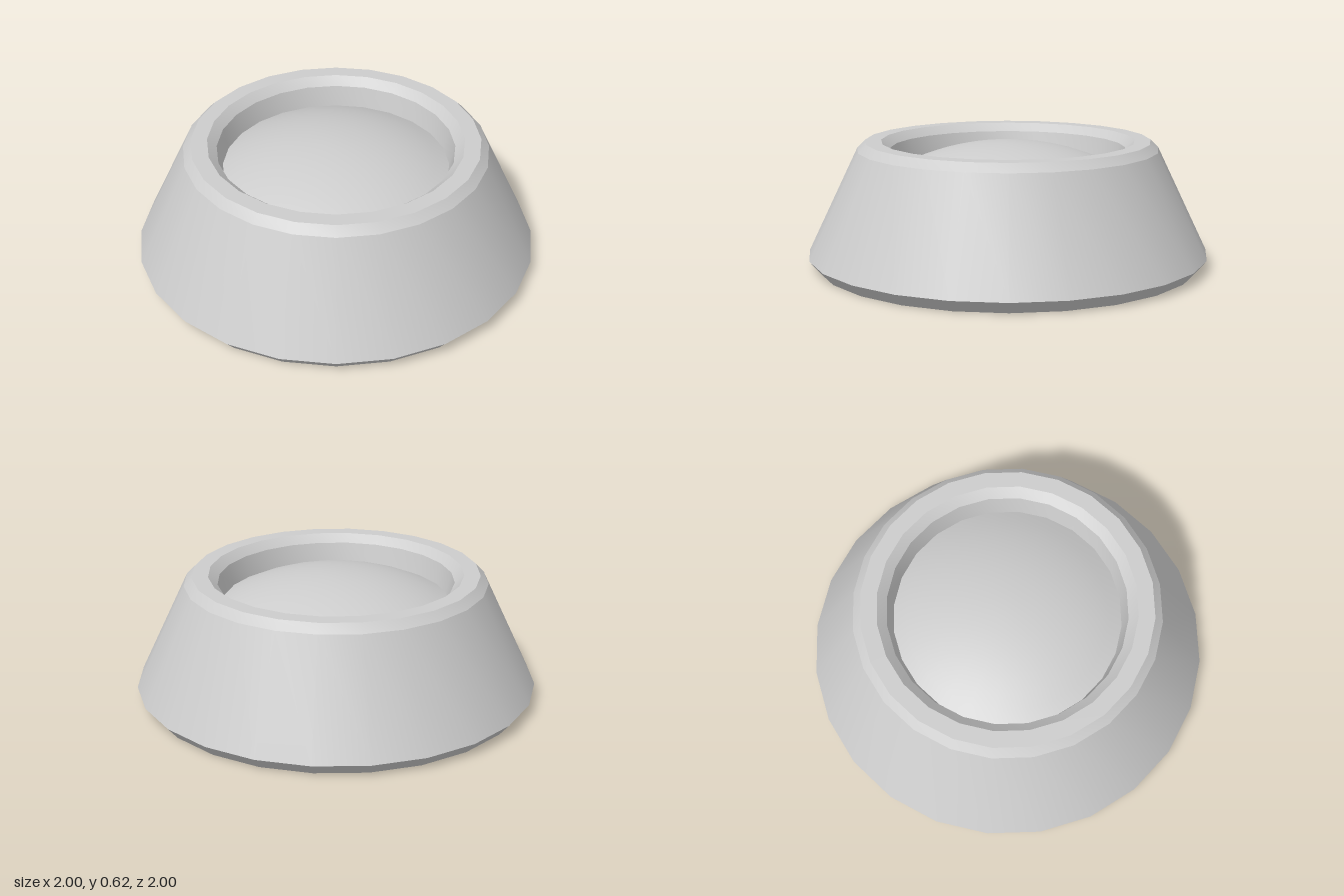
import * as THREE from 'three';
import { toCreasedNormals } from 'three/addons/utils/BufferGeometryUtils.js';

const SIDES = 24;

export function createModel() {
  const group = new THREE.Group();
  group.name = 'lensInHousing';
  const grey = new THREE.MeshStandardMaterial({ color: 0xcccccc });
  grey.name = 'light grey';

  const addLathe = (name, profile, crease) => {
    const points = profile.map(([r, y]) => new THREE.Vector2(r, y));
    const geometry = toCreasedNormals(new THREE.LatheGeometry(points, SIDES), crease);
    const mesh = new THREE.Mesh(geometry, grey);
    mesh.name = name;
    group.add(mesh);
  };

  // Tapered ring with chamfered rims, closed around its section
  addLathe('housing', [
    [0.95, 0], [1, 0.06], [0.75, 0.58], [0.71, 0.62], [0.63, 0.62],
    [0.585, 0.58], [0.56, 0.475], [0.75, 0.21], [0.79, 0.06], [0.845, 0], [0.95, 0],
  ], 0.3);

  // Spherical cap profile from the axis to its edge
  const cap = (radius, edgeY, apexY, steps = 8) => {
    const rise = Math.abs(apexY - edgeY);
    const R = (radius * radius + rise * rise) / (2 * rise);
    const sweep = Math.asin(radius / R);
    const dir = Math.sign(edgeY - apexY);
    return Array.from({ length: steps + 1 }, (_, i) => {
      const a = sweep * i / steps;
      return [R * Math.sin(a), apexY + dir * R * (1 - Math.cos(a))];
    });
  };

  // Lens bulging both upwards and downwards
  addLathe('lensTop', cap(0.56, 0.475, 0.61).reverse(), 0.5);
  addLathe('lensBottom', cap(0.75, 0.21, 0.015), 0.5);

  return group;
}
